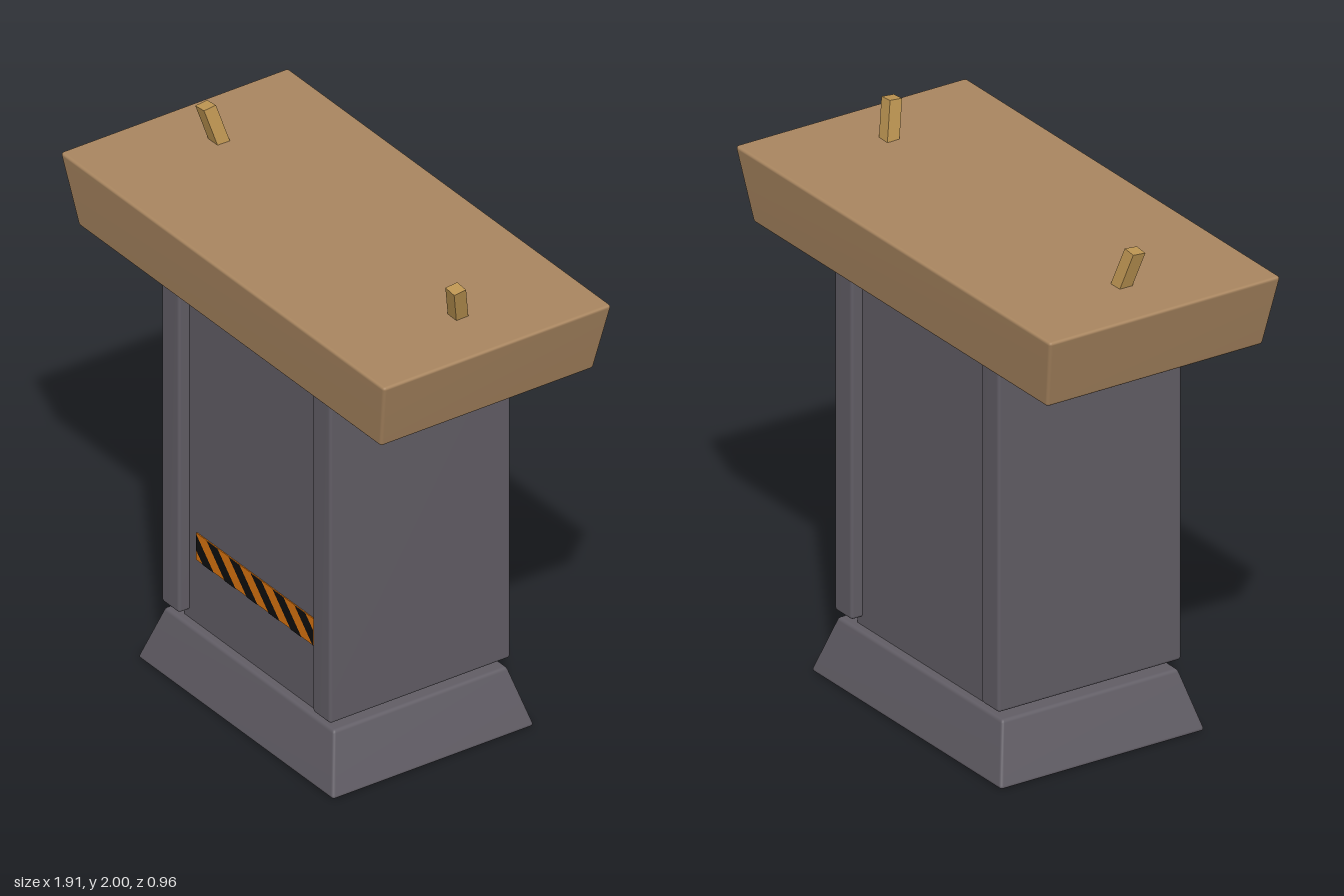
import * as THREE from 'three';
import { mergeVertices } from 'three/addons/utils/BufferGeometryUtils.js';
import { RoundedBoxGeometry } from 'three/addons/geometries/RoundedBoxGeometry.js';

const material = (name, color) => {
  const m = new THREE.MeshStandardMaterial({ color });
  m.name = name;
  return m;
};

// Soft-edged block between y0 and y1, tapering from a bottom to a top [width, depth]
function taperedBlock(bottom, top, y0, y1, radius) {
  const h = y1 - y0;
  const raw = new RoundedBoxGeometry(bottom[0], h, bottom[1], 2, radius);
  raw.deleteAttribute('normal');
  raw.deleteAttribute('uv');
  const geo = mergeVertices(raw, 1e-5);
  const p = geo.attributes.position;
  for (let i = 0; i < p.count; i++) {
    const t = p.getY(i) / h + 0.5;
    p.setX(i, p.getX(i) * THREE.MathUtils.lerp(1, top[0] / bottom[0], t));
    p.setZ(i, p.getZ(i) * THREE.MathUtils.lerp(1, top[1] / bottom[1], t));
  }
  geo.translate(0, (y0 + y1) / 2, 0);
  geo.computeVertexNormals();
  return geo;
}

// Keep the part of a polygon on one side of a vertical line
function clip(poly, limit, sign) {
  const out = [];
  poly.forEach((a, i) => {
    const b = poly[(i + 1) % poly.length];
    const da = sign * (a.x - limit), db = sign * (b.x - limit);
    if (da >= 0) out.push(a);
    if (da * db < 0) out.push(a.clone().lerp(b, da / (da - db)));
  });
  return out;
}

export function createModel() {
  const model = new THREE.Group();
  model.name = 'workTable';

  const wood = material('brown wood', 0xa98660);
  const pegWood = material('golden wood', 0xbd9552);
  const metal = material('dark grey metal', 0x615d65);
  const orange = material('warning orange', 0xd9730f);
  const black = material('warning black', 0x0e0e0e);

  const add = (name, geo, mat, parent = model) => {
    const mesh = new THREE.Mesh(geo, mat);
    mesh.name = name;
    parent.add(mesh);
    return mesh;
  };

  // Foot, column core and table top
  add('foot', taperedBlock([1.16, 0.85], [1.0, 0.73], 0, 0.22, 0.012), metal);
  add('columnCore', new THREE.BoxGeometry(0.85, 1.44, 0.67).translate(0, 0.9, 0), metal);
  add('tableTop', taperedBlock([1.79, 0.895], [1.92, 0.96], 1.585, 1.86, 0.012), wood);

  for (const side of [-1, 1]) {
    // Side slabs standing proud of the core
    const slab = taperedBlock([0.105, 0.76], [0.105, 0.76], 0.25, 1.6, 0.012);
    add(side > 0 ? 'leftSlab' : 'rightSlab', slab, metal).position.x = side * 0.4475;

    // Pegs leaning outwards and forwards
    const peg = new THREE.BoxGeometry(0.052, 0.18, 0.05);
    const p = peg.attributes.position;
    for (let i = 0; i < p.count; i++) {
      const x = p.getX(i), y = p.getY(i), z = p.getZ(i);
      p.setXYZ(i, x + side * 0.25 * y, y - side * 0.1 * x - 0.1 * z, z + 0.25 * y);
    }
    peg.computeVertexNormals();
    add(side > 0 ? 'leftPeg' : 'rightPeg', peg, pegWood).position.set(side * 0.718, 1.903, 0);
  }

  // Hazard strip: orange plate with slanted black bars
  const strip = new THREE.Group();
  strip.name = 'hazardStrip';
  model.add(strip);
  const x0 = -0.35, x1 = 0.345, yLow = 0.475, yHigh = 0.583;
  add('stripPlate', new THREE.BoxGeometry(x1 - x0, yHigh - yLow, 0.004)
    .translate((x0 + x1) / 2, (yLow + yHigh) / 2, 0.337), orange, strip);
  for (let i = -1; i < 6; i++) {
    const s = -0.286 + i * 0.13;
    const bar = [[s + 0.108, yLow], [s + 0.173, yLow], [s + 0.065, yHigh], [s, yHigh]]
      .map(([x, y]) => new THREE.Vector2(x, y));
    const poly = clip(clip(bar, x0, 1), x1, -1);
    if (poly.length < 3) continue;
    add('stripBar', new THREE.ShapeGeometry(new THREE.Shape(poly)).translate(0, 0, 0.341), black, strip);
  }
  return model;
}
